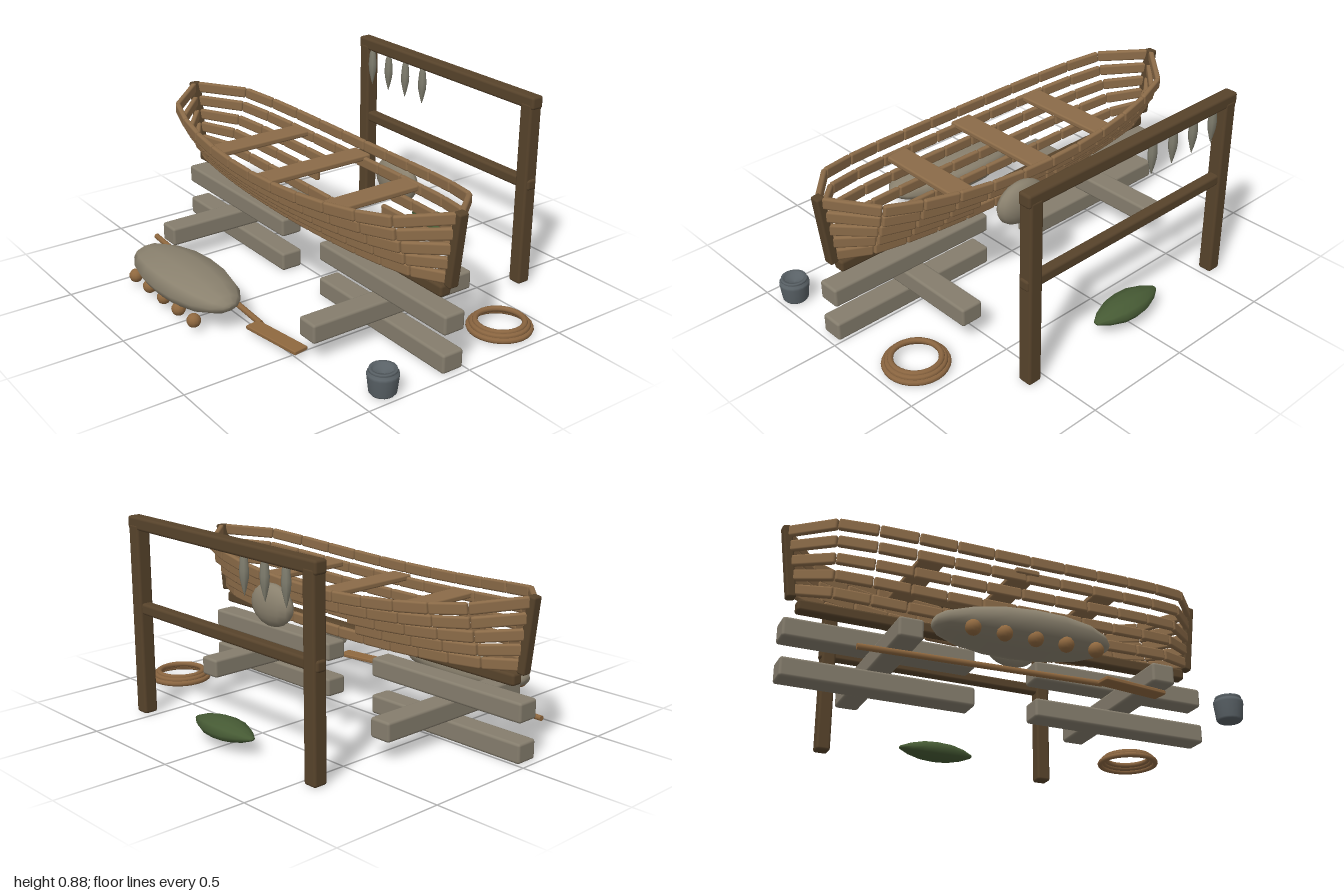
import * as THREE from 'three';
import { RoundedBoxGeometry } from 'three/addons/geometries/RoundedBoxGeometry.js';

const mat = (name, color) => Object.assign(new THREE.MeshStandardMaterial({ color }), { name });

export function createModel() {
  const root = new THREE.Group();
  root.name = 'boatyard';
  const M = {
    plank: mat('plank wood', 0x8b6b48),
    dark: mat('dark timber', 0x57432b),
    beam: mat('weathered beam', 0x857d6d),
    sack: mat('canvas', 0x8a816e),
    fish: mat('dried fish', 0x7f7d6e),
    green: mat('green bundle', 0x465a34),
    iron: mat('iron', 0x596166),
    rope: mat('rope', 0x8a6540),
    oar: mat('oar wood', 0x8f683f),
  };
  M.iron.side = THREE.DoubleSide;
  const KEEL_Z = 0.06;

  const add = (name, geo, material, x = 0, y = 0, z = 0, parent = root) => {
    const m = new THREE.Mesh(geo, material);
    m.name = name;
    m.position.set(x, y, z);
    parent.add(m);
    return m;
  };
  const group = (name) => {
    const g = new THREE.Group();
    g.name = name;
    root.add(g);
    return g;
  };
  const box = (w, h, d, r = 0.012) => new RoundedBoxGeometry(w, h, d, 2, r);
  // box whose long side runs from a to b, kept upright
  const bar = (name, a, b, h, d, material, parent, r = 0.009, trim = 0) => {
    const v = b.clone().sub(a);
    const m = add(name, box(v.length() - trim, h, d, r), material, 0, 0, 0, parent);
    m.position.copy(a).add(b).multiplyScalar(0.5);
    m.rotation.order = 'YZX';
    m.rotation.y = Math.atan2(-v.z, v.x);
    m.rotation.z = Math.atan2(v.y, Math.hypot(v.x, v.z));
    return m;
  };
  // spindle along x from a profile of [u, radius], scaled to half sizes
  const spindle = (profile, rx, ry, rz, sides) => {
    const g = new THREE.LatheGeometry(profile.map(([u, r]) => new THREE.Vector2(r, u)), sides);
    return g.rotateZ(-Math.PI / 2).scale(rx, ry, rz);
  };
  const V = (x, y, z) => new THREE.Vector3(x, y, z);

  // Hull: five strakes per side, each in twelve short planks
  const hull = group('hull');
  const strakes = [
    // half width, middle height, end rise, end x
    [0.105, 0.362, 0.040, 0.935],
    [0.160, 0.420, 0.047, 0.943],
    [0.210, 0.475, 0.056, 0.952],
    [0.260, 0.530, 0.068, 0.960],
    [0.300, 0.585, 0.080, 0.970],
  ];
  for (const side of [1, -1]) {
    strakes.forEach(([w, y, rise, end], row) => {
      const at = (i) => {
        const t = i / 6;
        return V(t * end, y + rise * t * t,
          KEEL_Z + side * (w * Math.pow(Math.max(0, 1 - t * t), 0.4) + 0.006));
      };
      for (let i = -6; i < 6; i++) {
        // broken opening in the rear side
        if (side < 0 && (row === 1 || row === 2) && i >= -1 && i <= 1) continue;
        bar('strakePlank', at(i), at(i + 1), 0.05, 0.024, M.plank, hull, 0.009, 0.003);
      }
    });
  }
  add('keel', box(1.82, 0.052, 0.056), M.dark, 0, 0.335, KEEL_Z, hull);
  for (const s of [1, -1]) {
    bar('stem', V(s * 0.935, 0.365, KEEL_Z), V(s * 0.975, 0.69, KEEL_Z), 0.04, 0.048, M.dark, hull);
  }
  for (const [x, len] of [[-0.405, 0.495], [0, 0.58], [0.405, 0.495]]) {
    add('thwart', box(0.11, 0.026, len, 0.008), M.plank, x, 0.552, KEEL_Z - 0.005, hull);
  }

  // Bulging patch over the opening
  add('patch', new THREE.SphereGeometry(1, 14, 10).scale(0.13, 0.098, 0.053), M.sack, 0.2, 0.485, -0.268);

  // Timber cribs under the keel
  const cribs = group('cribs');
  for (const s of [1, -1]) {
    add('lowerBeam', box(0.83, 0.086, 0.104), M.beam, s * 0.555, 0.047, KEEL_Z, cribs);
    add('crossBeam', box(0.104, 0.086, 0.83), M.beam, s * 0.556, 0.133, 0.057, cribs);
    add('upperBeam', box(0.83, 0.086, 0.104), M.beam, s * 0.555, 0.218, KEEL_Z, cribs);
  }

  // Drying rack with hanging fish
  const rack = group('dryingRack');
  for (const s of [1, -1]) add('post', box(0.066, 0.85, 0.066), M.dark, s * 0.559, 0.43, -0.7, rack);
  add('topRail', box(1.2, 0.058, 0.062), M.dark, 0, 0.859, -0.7, rack);
  add('middleRail', box(1.2, 0.05, 0.05), M.dark, 0, 0.485, -0.7, rack);
  const fishGeo = spindle([[-1, 0], [-0.7, 0.42], [-0.25, 0.9], [0.1, 1], [0.6, 0.8], [0.9, 0.45], [1, 0]],
    0.095, 0.022, 0.018, 8).rotateZ(Math.PI / 2);
  for (let i = 0; i < 4; i++) {
    add('hangingFish', fishGeo, M.fish, -0.508 + i * 0.126, 0.755, -0.682, rack);
  }

  // Stuffed sail bundle with floats beside it
  const sack = add('sailBundle', spindle(
    [[-1, 0], [-0.99, 0.26], [-0.9, 0.5], [-0.67, 0.76], [-0.33, 0.95], [0, 1],
      [0.33, 0.95], [0.67, 0.76], [0.9, 0.46], [0.99, 0.2], [1, 0]],
    0.365, 0.083, 0.16, 10), M.sack, -0.155, 0.117, 0.61);
  sack.rotation.z = 0.03;
  const ball = new THREE.SphereGeometry(0.031, 12, 8);
  for (let i = 0; i < 5; i++) add('float', ball, M.oar, -0.408 + i * 0.127, 0.055, 0.722);

  // Oar lying on the ground
  const oar = group('oar');
  const a = V(-0.757, 0.036, 0.43), b = V(0.25, 0.03, 0.487);
  const shaft = add('oarShaft', new THREE.CylinderGeometry(0.013, 0.013, a.distanceTo(b), 8), M.oar, 0, 0, 0, oar);
  shaft.position.copy(a).add(b).multiplyScalar(0.5);
  shaft.quaternion.setFromUnitVectors(V(0, 1, 0), b.clone().sub(a).normalize());
  bar('oarBlade', V(0.232, 0.03, 0.52), V(0.53, 0.03, 0.477), 0.018, 0.07, M.oar, oar, 0.005);

  // Pot with a rolled rim
  add('pot', new THREE.LatheGeometry([[0, 0.008], [0.05, 0.008], [0.056, 0.016], [0.064, 0.085],
    [0.064, 0.097], [0.053, 0.102], [0.058, 0.108], [0.056, 0.116], [0.043, 0.115], [0.04, 0.1], [0, 0.09],
  ].map(([r, y]) => new THREE.Vector2(r, y)), 18), M.iron, 0.93, 0, 0.38);

  // Rope coil, stacked rings narrowing upward
  const coil = group('ropeCoil');
  [[0.13, 0.02], [0.117, 0.034], [0.104, 0.045]].forEach(([r, y]) => {
    add('ropeRing', new THREE.TorusGeometry(r, 0.0125, 8, 28).rotateX(Math.PI / 2), M.rope, 0.83, y, -0.322, coil);
  });

  // Green net bundle below the rack
  add('netBundle', spindle([[-1, 0], [-0.97, 0.18], [-0.7, 0.6], [-0.35, 0.92], [0, 1],
    [0.35, 0.92], [0.7, 0.6], [0.97, 0.18], [1, 0]], 0.185, 0.045, 0.078, 10), M.green, 0, 0.08, -0.7);

  return root;
}
